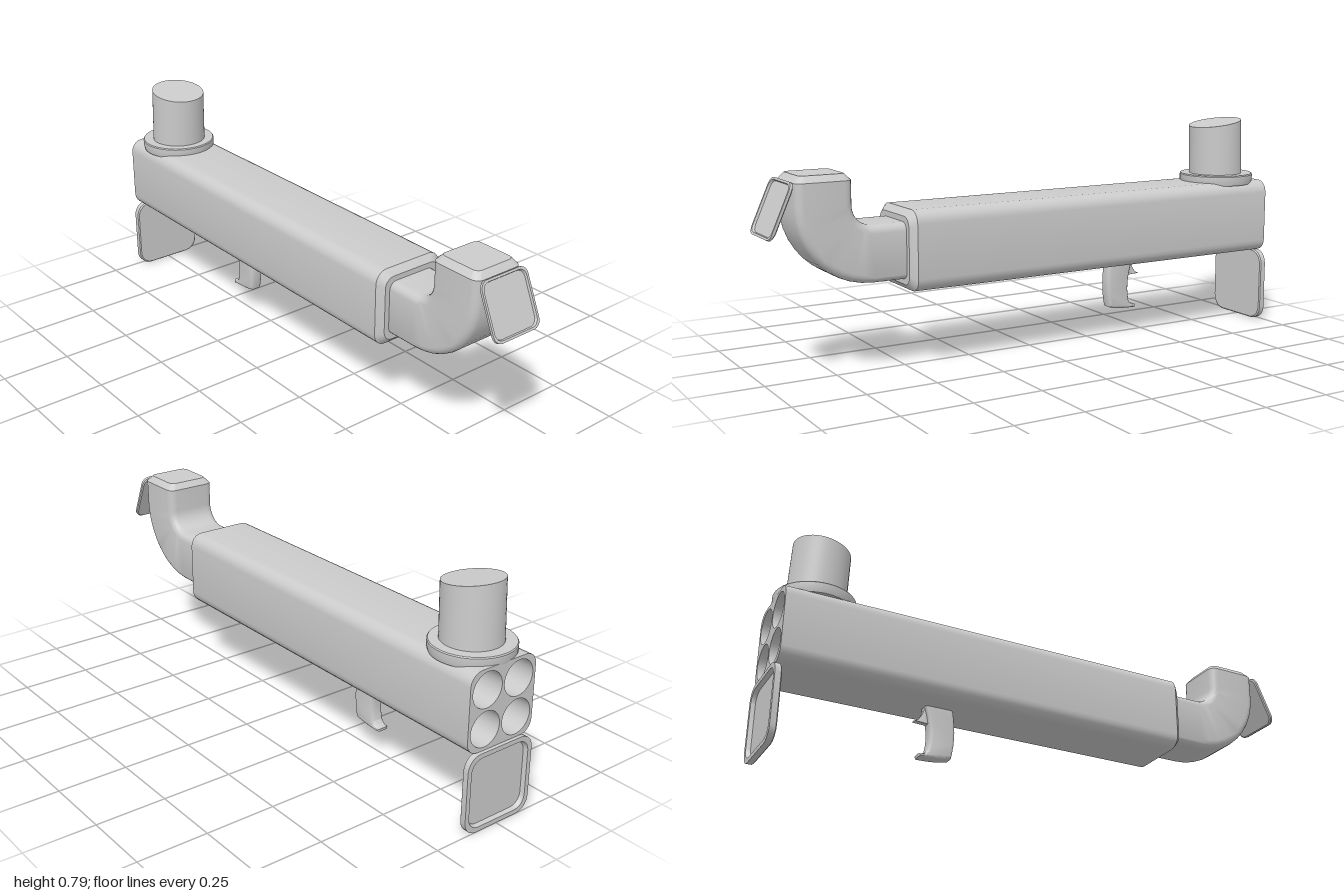
import * as THREE from 'three';
import { toCreasedNormals } from 'three/addons/utils/BufferGeometryUtils.js';

const material = new THREE.MeshStandardMaterial({ color: 0xcccccc });
const thin = new THREE.MeshStandardMaterial({ color: 0xcccccc, side: THREE.DoubleSide });
const inner = new THREE.MeshStandardMaterial({ color: 0xcccccc, side: THREE.BackSide });

// Counter-clockwise outline of a rounded rectangle
function roundedOutline(w, h, r, steps = 5) {
  const points = [];
  [[1, 1], [-1, 1], [-1, -1], [1, -1]].forEach(([sx, sy], corner) => {
    for (let i = 0; i <= steps; i++) {
      const a = (corner + i / steps) * Math.PI / 2;
      points.push(new THREE.Vector2(sx * (w - r) + r * Math.cos(a), sy * (h - r) + r * Math.sin(a)));
    }
  });
  return points;
}

// Skin over rounded-square sections {y, z, angle, w, r}, with optional end caps
function loft(sections, capStart = true, capEnd = true) {
  const positions = [], index = [];
  let n = 0;
  const place = (p, s) => {
    const v = new THREE.Vector3(p.x, p.y, 0)
      .applyAxisAngle(new THREE.Vector3(1, 0, 0), -(s.angle || 0));
    positions.push(v.x, v.y + (s.y || 0), v.z + s.z);
  };
  for (const s of sections) {
    const ring = roundedOutline(s.w, s.w, s.r);
    n = ring.length;
    ring.forEach(p => place(p, s));
  }
  const last = sections.length - 1, centre = (last + 1) * n;
  place({ x: 0, y: 0 }, sections[0]);
  place({ x: 0, y: 0 }, sections[last]);
  for (let j = 0; j < n; j++) {
    const k = (j + 1) % n;
    for (let i = 0; i < last; i++) {
      const a = i * n + j, b = i * n + k;
      index.push(a, b, b + n, a, b + n, a + n);
    }
    if (capStart) index.push(centre, k, j);
    if (capEnd) index.push(centre + 1, last * n + j, last * n + k);
  }
  const g = new THREE.BufferGeometry();
  g.setAttribute('position', new THREE.Float32BufferAttribute(positions, 3));
  g.setIndex(index);
  return toCreasedNormals(g, 0.5);
}

// Shallow lid with a raised rim on its +z face
function lid(w, r, depth, rim) {
  return loft([
    { z: 0, w: w - 0.004, r },
    { z: 0.004, w, r },
    { z: depth, w, r },
    { z: depth, w: w - rim, r: r - rim / 2 },
    { z: depth * 0.4, w: w - rim * 1.3, r: r - rim / 2 },
  ]);
}

export function createModel() {
  const group = new THREE.Group();
  const add = (name, geometry, mat = material, parent = group) => {
    const mesh = new THREE.Mesh(geometry, mat);
    mesh.name = name;
    parent.add(mesh);
    return mesh;
  };

  // Long square housing with a bevelled front end
  const y = 0.418, half = 0.138, back = -0.99;
  add('housing', loft([
    { y, z: back, w: half, r: 0.045 },
    { y, z: 0.508, w: half, r: 0.045 },
    { y, z: 0.53, w: half - 0.022, r: 0.035 },
  ], false, true));

  // Rear plate pierced by four bores
  const plate = new THREE.Shape(roundedOutline(half, half, 0.045));
  const bores = new THREE.Group();
  bores.name = 'bores';
  group.add(bores);
  const radius = 0.061, length = 1.4;
  for (const sx of [-1, 1]) for (const sy of [-1, 1]) {
    const cx = sx * 0.066, cy = sy * 0.066;
    plate.holes.push(new THREE.Path().absarc(cx, cy, radius, 0, Math.PI * 2, true));
    const bore = add('bore', new THREE.CylinderGeometry(radius, radius, length, 32, 1, true).rotateX(Math.PI / 2), inner, bores);
    bore.position.set(cx, y + cy, back + length / 2);
    const end = add('boreEnd', new THREE.CircleGeometry(radius, 32), thin, bores);
    end.position.set(cx, y + cy, back + length);
  }
  add('rearPlate', new THREE.ShapeGeometry(plate, 16), thin).position.set(0, y, back);

  // Elbow sweeping forward and up, closed by a chamfered top
  const elbow = [{ y, z: 0.5, w: 0.097, r: 0.028 }];
  const bend = 0.165, steps = 10;
  for (let i = 0; i <= steps; i++) {
    const angle = i / steps * Math.PI / 2;
    elbow.push({
      y: y + bend * (1 - Math.cos(angle)), z: 0.645 + bend * Math.sin(angle),
      angle, w: 0.097, r: 0.028,
    });
  }
  elbow.push({ y: 0.668, z: 0.81, angle: Math.PI / 2, w: 0.097, r: 0.028 });
  elbow.push({ y: 0.69, z: 0.81, angle: Math.PI / 2, w: 0.078, r: 0.02 });
  add('elbow', loft(elbow));

  // Open front lid, leaning forward from the top of the elbow
  const frontLid = add('frontLid', lid(0.099, 0.03, 0.013, 0.008));
  frontLid.position.set(0, 0.579, 0.948);
  frontLid.rotation.x = -0.42;

  // Open rear lid hanging below the housing, hollow side to the rear
  const rearLid = add('rearLid', lid(half, 0.05, 0.024, 0.016));
  rearLid.position.set(0, half + 0.002, -0.976);
  rearLid.rotation.y = Math.PI;

  // Round collar and slanted turret
  const collar = [[0, 0.545], [0.136, 0.545], [0.14, 0.56], [0.14, 0.58], [0.137, 0.584], [0, 0.584]]
    .map(([r, h]) => new THREE.Vector2(r, h));
  add('collar', toCreasedNormals(new THREE.LatheGeometry(collar, 48), 0.6)).position.z = -0.853;

  const turret = new THREE.CylinderGeometry(0.1, 0.102, 0.22, 48);
  const p = turret.attributes.position;
  for (let i = 0; i < p.count; i++) {
    if (p.getY(i) > 0) {
      p.setY(i, p.getY(i) - p.getZ(i) * 0.15);
      p.setZ(i, p.getZ(i) + 0.008);
    }
  }
  add('turret', toCreasedNormals(turret, 0.6)).position.set(0, 0.67, -0.85);

  // Grip and trigger: side profiles drawn as (z, y), extruded across x
  const profile = (shape, width, bevel) => {
    const g = new THREE.ExtrudeGeometry(shape, {
      depth: width - 2 * bevel, curveSegments: 8, bevelEnabled: true,
      bevelSize: bevel, bevelOffset: -bevel, bevelThickness: bevel, bevelSegments: 3,
    });
    g.translate(0, 0, bevel - width / 2).rotateY(-Math.PI / 2);
    return toCreasedNormals(g, 0.7);
  };
  const grip = new THREE.Shape();
  grip.moveTo(-0.345, 0.3);
  grip.quadraticCurveTo(-0.32, 0.2, -0.342, 0.105);
  grip.quadraticCurveTo(-0.385, 0.092, -0.458, 0.093);
  grip.lineTo(-0.46, 0.104);
  grip.quadraticCurveTo(-0.43, 0.106, -0.428, 0.13);
  grip.quadraticCurveTo(-0.412, 0.2, -0.45, 0.3);
  grip.closePath();
  add('grip', profile(grip, 0.048, 0.01));

  const trigger = new THREE.Shape();
  trigger.moveTo(-0.41, 0.29);
  trigger.lineTo(-0.41, 0.218);
  trigger.lineTo(-0.478, 0.222);
  trigger.quadraticCurveTo(-0.445, 0.235, -0.44, 0.29);
  trigger.closePath();
  add('trigger', profile(trigger, 0.02, 0.002));

  return group;
}
